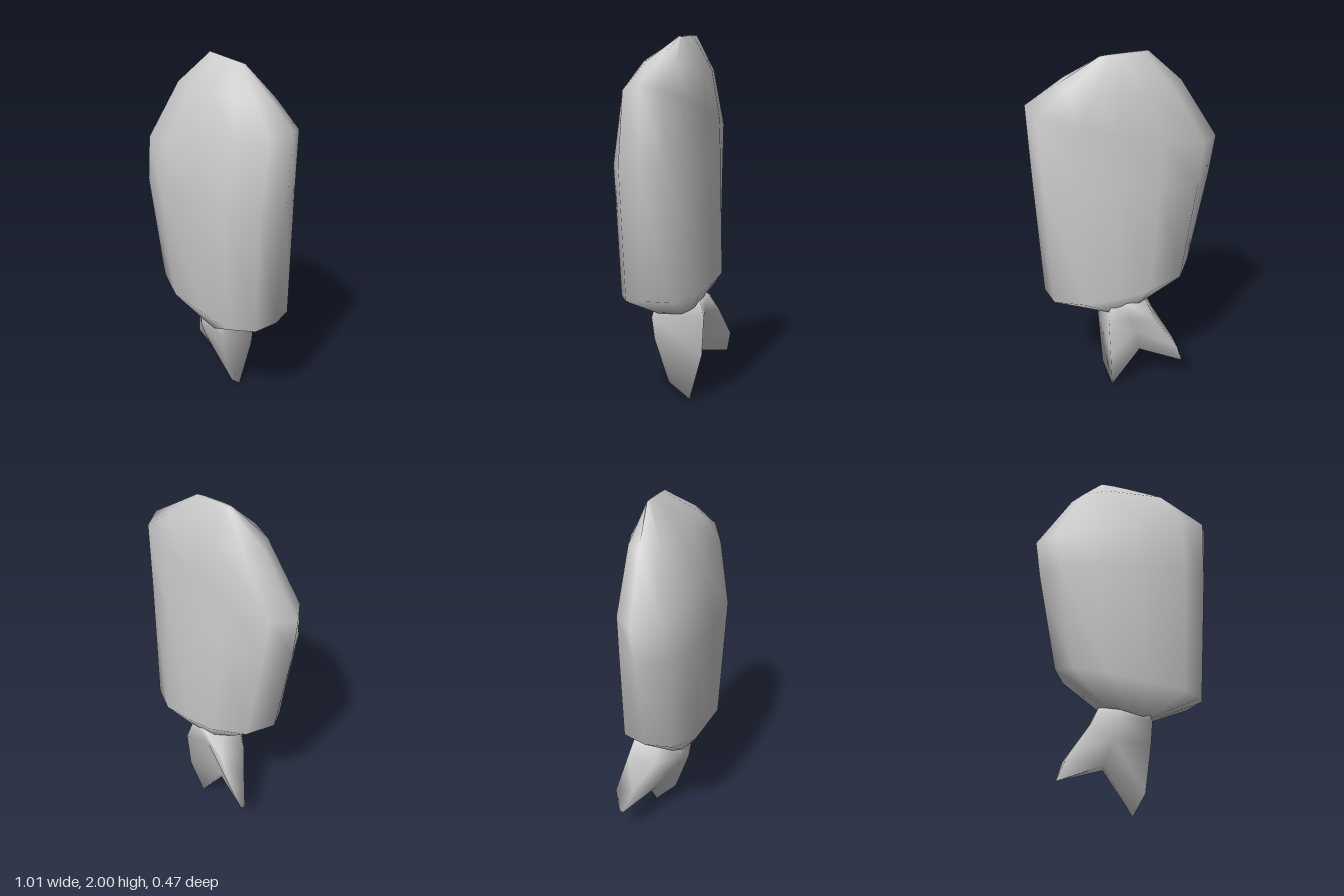
import * as THREE from 'three';

const material = new THREE.MeshStandardMaterial({ color: 0xcccccc, side: THREE.DoubleSide });

// Skin a stack of closed rings (listed top to bottom) and cap both ends.
function loft(name, rings) {
  const n = rings[0].length;
  const index = [];
  for (let r = 0; r < rings.length - 1; r++) {
    for (let j = 0; j < n; j++) {
      const a = r * n + j, b = r * n + (j + 1) % n;
      index.push(a, b, a + n, b, b + n, a + n);
    }
  }
  const last = (rings.length - 1) * n;
  for (let j = 1; j < n - 1; j++) {
    index.push(0, j + 1, j);
    index.push(last, last + j, last + j + 1);
  }
  const geometry = new THREE.BufferGeometry();
  geometry.setAttribute('position', new THREE.Float32BufferAttribute(rings.flat(2), 3));
  geometry.setIndex(index);
  geometry.computeVertexNormals();
  const mesh = new THREE.Mesh(geometry, material);
  mesh.name = name;
  return mesh;
}

// Flattened cross-section of the sack: u across the width, v through the depth.
const section = [
  [1, 0], [0.9, 0.58], [0.6, 1], [0.1, 1], [-0.4, 1], [-0.82, 0.62],
  [-1, 0], [-0.82, -0.62], [-0.36, -0.96], [0.08, -1], [0.5, -0.97], [0.9, -0.6],
];

// One sack ring: side tips, their heights, front and back depth, tip depth,
// and the heights of the front and back faces.
function sackRing({ x, y, z, tipZ, faceY }) {
  return section.map(([u, v]) => {
    const t = (u + 1) / 2;
    const tipY = y[0] + (y[1] - y[0]) * t;
    const target = v > 0 ? faceY[0] : faceY[1];
    const k = Math.abs(v);
    return [
      x[0] + (x[1] - x[0]) * t,
      tipY + (target - (y[0] + y[1]) / 2) * k,
      tipZ + ((v > 0 ? z[0] : z[1]) - tipZ) * k,
    ];
  });
}

export function createModel() {
  const group = new THREE.Group();
  group.name = 'tiedSack';

  // Full, lopsided body of the sack, narrowing to the tied neck
  group.add(loft('sackBody', [
    { x: [-0.12, 0.13], y: [2.0, 1.98], z: [-0.055, -0.08], tipZ: -0.068, faceY: [1.99, 1.985] },
    { x: [-0.3, 0.33], y: [1.83, 1.845], z: [0.1, -0.17], tipZ: -0.04, faceY: [1.85, 1.81] },
    { x: [-0.505, 0.505], y: [1.5, 1.73], z: [0.185, -0.185], tipZ: -0.01, faceY: [1.59, 1.59] },
    { x: [-0.475, 0.485], y: [1.27, 1.32], z: [0.24, -0.2], tipZ: 0, faceY: [1.3, 1.3] },
    { x: [-0.375, 0.445], y: [0.74, 0.63], z: [0.205, -0.235], tipZ: 0, faceY: [0.64, 0.67] },
    { x: [-0.13, 0.13], y: [0.55, 0.49], z: [0.1, -0.13], tipZ: 0, faceY: [0.5, 0.52] },
  ].map(sackRing)));

  // Gathered cloth below the neck, spreading into two pointed lobes;
  // each ring runs front valley, left lobe, back valley, right lobe
  group.add(loft('gatheredTail', [
    [[-0.04, 0.55, 0.09], [-0.13, 0.55, -0.02], [-0.12, 0.56, -0.15],
      [0, 0.6, -0.18], [0.09, 0.59, -0.17], [0.11, 0.54, 0.08]],
    [[-0.04, 0.46, 0.09], [-0.17, 0.46, -0.02], [-0.16, 0.47, -0.19],
      [-0.02, 0.48, -0.16], [0.11, 0.49, -0.205], [0.135, 0.46, 0.095]],
    [[-0.06, 0.36, 0.04], [-0.27, 0.31, -0.12], [-0.28, 0.3, -0.22],
      [-0.06, 0.36, -0.11], [0.1, 0.27, -0.19], [0.13, 0.34, 0.08]],
    [[-0.1, 0.24, -0.04], [-0.32, 0.18, -0.165], [-0.31, 0.185, -0.19],
      [-0.08, 0.24, -0.12], [0.08, 0, -0.11], [0.12, 0.1, 0]],
  ]));

  return group;
}
